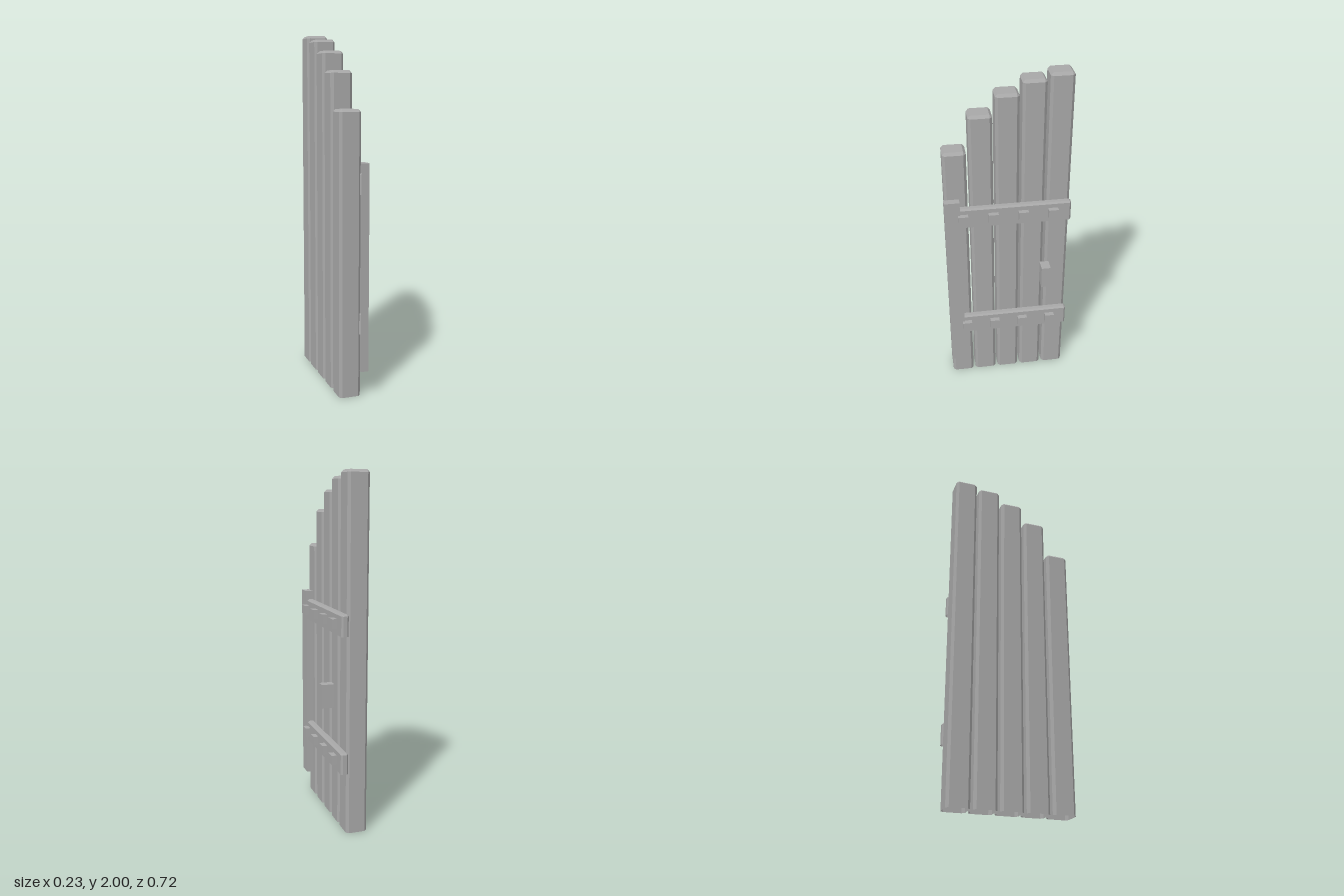
import * as THREE from 'three';

// Post with chamfered upright edges, a bevelled top and an open underside
function bevelledPost([x0, x1], [y0, y1], [z0, z1], c) {
  const ring = [
    [x0 + c, z1], [x1 - c, z1], [x1, z1 - c], [x1, z0 + c],
    [x1 - c, z0], [x0 + c, z0], [x0, z0 + c], [x0, z1 - c],
  ];
  const at = (y) => ring.map(([x, z]) => [x, y, z]);
  const inset = ring.map(([x, z]) => [
    THREE.MathUtils.clamp(x, x0 + c, x1 - c), y1,
    THREE.MathUtils.clamp(z, z0 + c, z1 - c),
  ]);
  const levels = [at(y0), at(y1 - c), inset];
  const pos = [];
  const tri = (...points) => points.forEach((p) => pos.push(...p));
  for (let l = 0; l < 2; l++) {
    for (let i = 0; i < 8; i++) {
      const j = (i + 1) % 8;
      const a = levels[l][i], b = levels[l][j];
      const d = levels[l + 1][i], e = levels[l + 1][j];
      tri(a, b, e);
      // bevel corners close to a single triangle
      if (l === 0 || i % 2 === 0) tri(a, e, d);
    }
  }
  tri(inset[0], inset[1], inset[4]);
  tri(inset[0], inset[4], inset[5]);
  const geometry = new THREE.BufferGeometry();
  geometry.setAttribute('position', new THREE.Float32BufferAttribute(pos, 3));
  geometry.computeVertexNormals();
  return geometry;
}

// Plain box given by its extents
function block([x0, x1], [y0, y1], [z0, z1]) {
  return new THREE.BoxGeometry(x1 - x0, y1 - y0, z1 - z0)
    .translate((x0 + x1) / 2, (y0 + y1) / 2, (z0 + z1) / 2);
}

export function createModel() {
  const door = new THREE.Group();
  door.name = 'plankDoor';
  const grey = new THREE.MeshStandardMaterial({ color: 0xa8a8a8, side: THREE.DoubleSide });
  grey.name = 'grey';

  const add = (name, geometry) => {
    const mesh = new THREE.Mesh(geometry, grey);
    mesh.name = name;
    door.add(mesh);
  };

  // Five upright planks, stepping up along an arch towards the back
  [1.585, 1.79, 1.9, 1.97, 2].forEach((height, i) => {
    const z = 0.288 - i * 0.1445;
    add(`plank${i + 1}`, bevelledPost([-0.115, 0.008], [0, height], [z - 0.065, z + 0.065], 0.015));
  });

  // Two cross bands, each with four square studs
  [[0.355, 0.478, 0.417], [1.13, 1.25, 1.19]].forEach(([y0, y1, studY], b) => {
    add(`crossBand${b + 1}`, bevelledPost([0, 0.042], [y0, y1], [-0.36, 0.355], 0.009));
    for (let i = 0; i < 4; i++) {
      const z = 0.256 - i * 0.1705;
      add(`stud${b + 1}_${i + 1}`,
        block([0.042, 0.071], [studY - 0.027, studY + 0.027], [z - 0.028, z + 0.028]));
    }
  });

  // Hinge bar on the low edge and handle near the tall edge
  add('hingeBar', block([0.007, 0.05], [0.14, 1.3], [0.272, 0.36]));
  add('handle', block([0.042, 0.113], [0.71, 0.845], [-0.24, -0.187]));

  return door;
}
